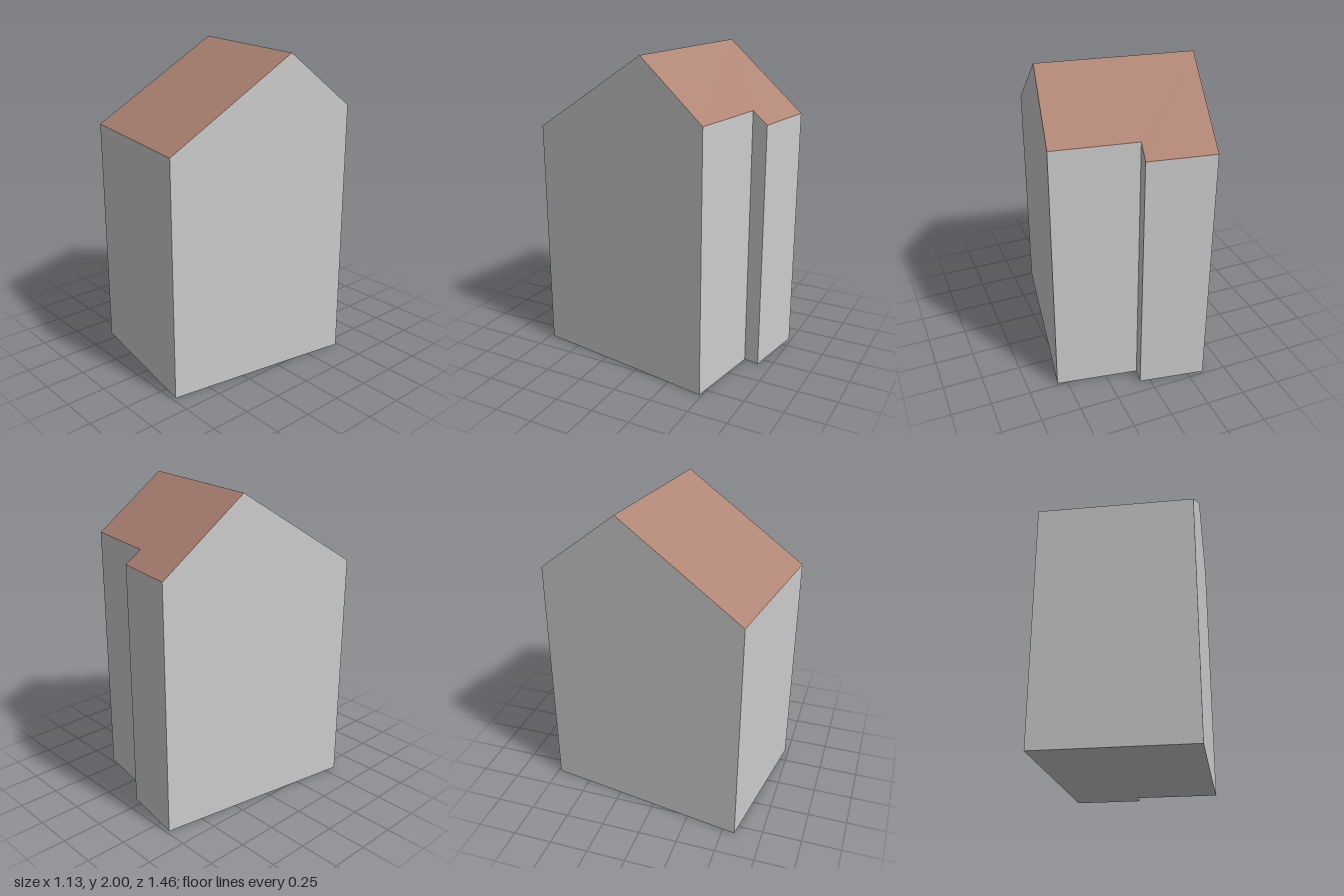
import * as THREE from 'three';

// Footprint corners, counter-clockwise from above: [x, z, wall height]
const frontLeft = [-0.567, 0.58, 1.495];
const frontRight = [0.367, 0.728, 1.49];
const ridgeRight = [0.492, -0.06, 1.995];
const backRight = [0.563, -0.486, 1.65];
const notchInner = [0.047, -0.568, 1.652];
const notchOuter = [0.063, -0.665, 1.577];
const backLeft = [-0.352, -0.733, 1.579];
const ridgeLeft = [-0.437, -0.212, 2];
const ring = [frontLeft, frontRight, ridgeRight, backRight, notchInner, notchOuter, backLeft, ridgeLeft];

const top = ([x, z, h]) => [x, h, z];
const ground = ([x, z]) => [x, 0, z];

function meshFrom(name, triangles, material) {
  const geometry = new THREE.BufferGeometry();
  geometry.setAttribute('position', new THREE.Float32BufferAttribute(triangles.flat(2), 3));
  geometry.computeVertexNormals();
  const mesh = new THREE.Mesh(geometry, material);
  mesh.name = name;
  return mesh;
}

// Fills a polygon given counter-clockwise from above
function fill(corners, place) {
  const outline = corners.map(([x, z]) => new THREE.Vector2(x, -z));
  return THREE.ShapeUtils.triangulateShape(outline, [])
    .map((face) => face.map((i) => place(corners[i])));
}

export function createModel() {
  const wallGrey = new THREE.MeshStandardMaterial({ name: 'wall grey', color: 0xcccccc });
  const roofBrown = new THREE.MeshStandardMaterial({ name: 'roof brown', color: 0xb08575 });
  const house = new THREE.Group();
  house.name = 'house';

  // Walls rise from the ground to the roof line; gables meet at the ridge
  const walls = ring.flatMap((a, i) => {
    const b = ring[(i + 1) % ring.length];
    return [[ground(a), ground(b), top(b)], [ground(a), top(b), top(a)]];
  });
  house.add(meshFrom('walls', walls, wallGrey));

  // Underside
  const floor = fill(ring, ground).map((face) => face.reverse());
  house.add(meshFrom('floor', floor, wallGrey));

  // Two roof slopes, the rear one notched
  house.add(meshFrom('frontRoof', fill([frontLeft, frontRight, ridgeRight, ridgeLeft], top), roofBrown));
  house.add(meshFrom('backRoof',
    fill([ridgeLeft, ridgeRight, backRight, notchInner, notchOuter, backLeft], top), roofBrown));
  return house;
}
